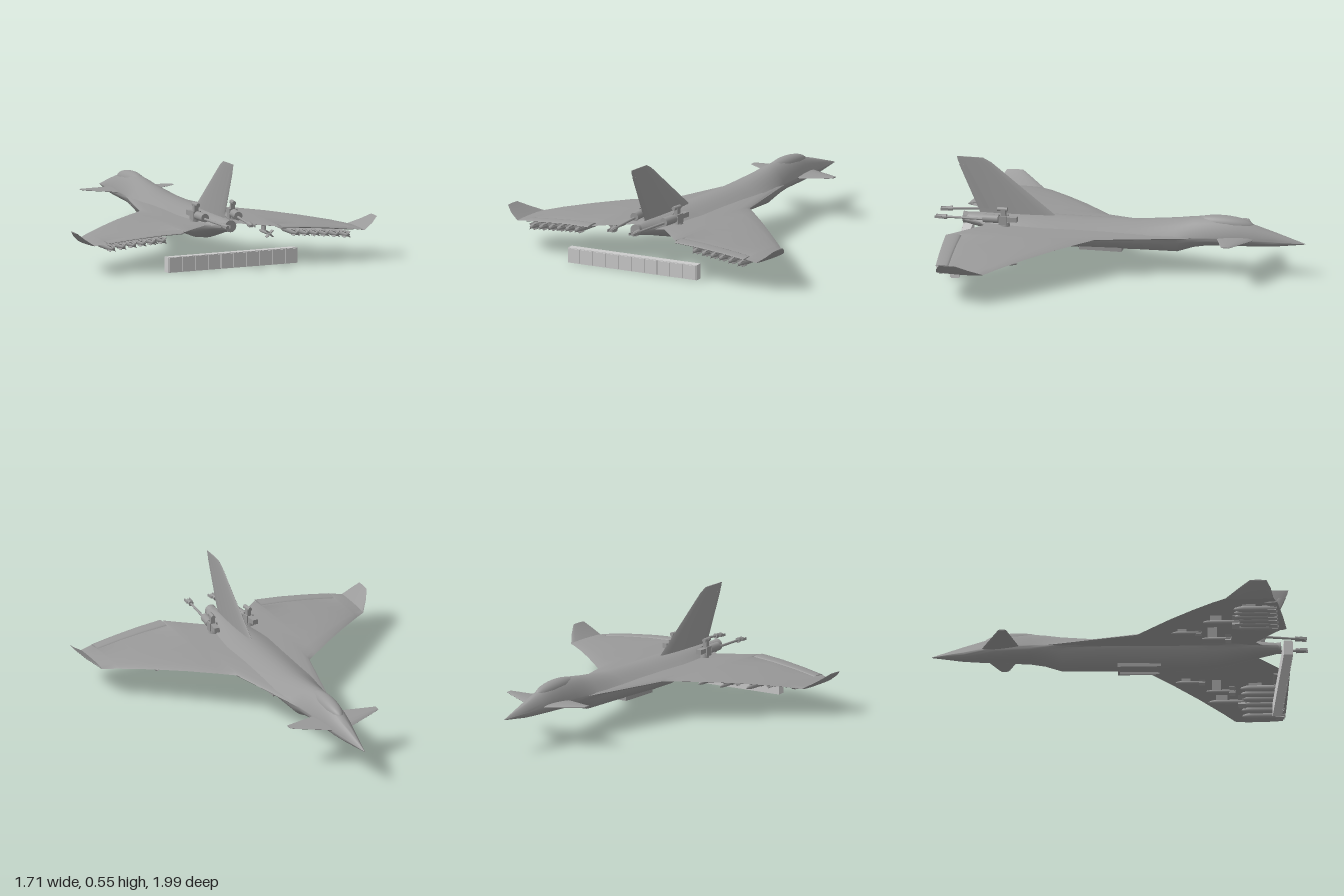
import * as THREE from 'three';
import { toCreasedNormals } from 'three/addons/utils/BufferGeometryUtils.js';

const hullGrey = new THREE.MeshStandardMaterial({ color: 0x999999 });
const paleGrey = new THREE.MeshStandardMaterial({ color: 0xcccccc });

function add(parent, name, geometry, x = 0, y = 0, z = 0, material = hullGrey) {
  const mesh = new THREE.Mesh(geometry, material);
  mesh.name = name;
  mesh.position.set(x, y, z);
  parent.add(mesh);
  return mesh;
}

// Skin a list of equal-sized rings, cap both ends, and turn faces outward.
function loft(rings, crease = 0.7) {
  const n = rings[0].length, verts = rings.flat(), tris = [];
  for (let i = 0; i < rings.length - 1; i++) {
    for (let j = 0; j < n; j++) {
      const k = (j + 1) % n, a = i * n, b = a + n;
      tris.push([a + j, a + k, b + j], [a + k, b + k, b + j]);
    }
  }
  for (const [start, flip] of [[0, true], [(rings.length - 1) * n, false]]) {
    const mid = new THREE.Vector3();
    for (let j = 0; j < n; j++) mid.addScaledVector(verts[start + j], 1 / n);
    const c = verts.push(mid) - 1;
    for (let j = 0; j < n; j++) {
      const a = start + j, b = start + (j + 1) % n;
      tris.push(flip ? [c, b, a] : [c, a, b]);
    }
  }
  const cross = new THREE.Vector3();
  let volume = 0;
  for (const [a, b, c] of tris) volume += verts[a].dot(cross.crossVectors(verts[b], verts[c]));
  if (volume < 0) tris.forEach(t => t.reverse());
  const geo = new THREE.BufferGeometry().setFromPoints(verts);
  geo.setIndex(tris.flat());
  return toCreasedNormals(geo, crease);
}

// Thin lens-shaped section: at(z, offset) places each point.
function foil(zLead, zTrail, half, at, n = 16) {
  return Array.from({ length: n }, (_, j) => {
    const a = j / n * Math.PI * 2, u = (1 - Math.cos(a)) / 2;
    return at(zLead + (zTrail - zLead) * u, half * Math.sin(a) * (1.15 - 0.5 * u));
  });
}
// Each row: x, leading z, trailing z, y, half thickness
const wingLoft = rows => loft(rows.map(([x, l, t, y, h]) =>
  foil(l, t, h, (z, d) => new THREE.Vector3(x, y + d, z))));

function mirrored(parent, name, geometry) {
  add(parent, 'left' + name, geometry);
  add(parent, 'right' + name, geometry).scale.x = -1;
}

const rod = (r0, r1, len, sides = 14) => new THREE.CylinderGeometry(r0, r1, len, sides).rotateX(Math.PI / 2);

// Finned store with its nose toward -z, hanging by `drop` below the wing
function makeStore(name, length, radius, fin, drop) {
  const g = new THREE.Group();
  g.name = name;
  const profile = [[0, -0.5], [0.5, -0.46], [0.9, -0.36], [1, -0.25], [1, 0.3], [0.6, 0.5], [0, 0.5]]
    .map(([r, t]) => new THREE.Vector2(r * radius, t * length));
  add(g, 'storeBody', new THREE.LatheGeometry(profile, 12).rotateX(Math.PI / 2));
  for (const a of [Math.PI / 4, -Math.PI / 4]) {
    add(g, 'storeFin', new THREE.BoxGeometry(fin * 2, 0.003, length * 0.2), 0, 0, length * 0.38).rotation.z = a;
  }
  add(g, 'pylon', new THREE.BoxGeometry(0.008, drop, length * 0.3), 0, drop / 2, -length * 0.15);
  return g;
}

// Rear-facing gun on a pivot, its barrel drooping slightly
function makeGun() {
  const g = new THREE.Group();
  g.name = 'deckGun';
  add(g, 'gunBase', new THREE.CylinderGeometry(0.02, 0.027, 0.035, 14), 0, -0.005, 0);
  add(g, 'gunPost', new THREE.BoxGeometry(0.022, 0.07, 0.026), 0, 0.05, 0.01);
  add(g, 'gunSight', rod(0.011, 0.011, 0.055), 0, 0.083, 0.015);
  add(g, 'gunBreech', new THREE.BoxGeometry(0.03, 0.026, 0.08), 0, 0.03, -0.025);
  for (const s of [-1, 1]) add(g, 'gunTrunnion', new THREE.BoxGeometry(0.007, 0.05, 0.045), s * 0.018, 0.025, 0.01);
  add(g, 'gunDrum', rod(0.023, 0.023, 0.085), 0, 0.028, 0.08);
  add(g, 'gunBarrel', rod(0.006, 0.007, 0.26), 0, 0.022, 0.24);
  add(g, 'gunMuzzle', rod(0.008, 0.014, 0.055), 0, 0.022, 0.355);
  for (const s of [-1, 1]) add(g, 'muzzleProng', new THREE.BoxGeometry(0.005, 0.014, 0.04), s * 0.014, 0.022, 0.37);
  g.rotation.x = 0.035;
  return g;
}

function makeAircraft() {
  const plane = new THREE.Group();
  plane.name = 'aircraft';

  // Fuselage rows: z, belly half width, deck half width, side y, top y, bottom y, deck flare
  const body = [
    [-1, 0.002, 0.002, 0.19, 0.192, 0.188, 1.5], [-0.83, 0.038, 0.038, 0.198, 0.247, 0.167, 1.5],
    [-0.73, 0.06, 0.06, 0.205, 0.277, 0.163, 1.5], [-0.66, 0.07, 0.07, 0.208, 0.298, 0.161, 1.5],
    [-0.58, 0.08, 0.08, 0.21, 0.311, 0.158, 1.6], [-0.48, 0.088, 0.088, 0.21, 0.312, 0.155, 1.7],
    [-0.4, 0.095, 0.095, 0.21, 0.305, 0.14, 1.8], [-0.31, 0.1, 0.11, 0.21, 0.291, 0.108, 2.1],
    [-0.1, 0.108, 0.15, 0.21, 0.268, 0.106, 3], [0.2, 0.11, 0.17, 0.207, 0.261, 0.097, 3.5],
    [0.4, 0.108, 0.17, 0.207, 0.26, 0.098, 3.5], [0.52, 0.1, 0.14, 0.207, 0.258, 0.113, 3.2],
    [0.62, 0.087, 0.105, 0.208, 0.256, 0.138, 2.6], [0.73, 0.062, 0.062, 0.21, 0.253, 0.168, 1.8],
    [0.84, 0.03, 0.03, 0.215, 0.245, 0.19, 1.3]];
  add(plane, 'fuselage', loft(body.map(([z, belly, deck, side, top, bottom, flare]) =>
    Array.from({ length: 32 }, (_, j) => {
      const a = j / 32 * Math.PI * 2, s = Math.sin(a), upper = j <= 16;
      const y = upper ? side + (top - side) * Math.pow(Math.max(s, 0), flare) : side - (side - bottom) * Math.pow(-s, 1.15);
      return new THREE.Vector3((upper ? deck : belly) * Math.cos(a), y, z);
    })), 0.9));
  add(plane, 'canopy', new THREE.SphereGeometry(1, 28, 18).scale(0.045, 0.048, 0.165), 0, 0.273, -0.56).rotation.x = -0.03;
  add(plane, 'exhaustNozzle', rod(0.032, 0.026, 0.05, 20), 0, 0.218, 0.825);

  // Belly bay rim
  for (const s of [-1, 1]) {
    add(plane, 'bayRail', new THREE.BoxGeometry(0.008, 0.05, 0.22), s * 0.05, 0.122, 0.1);
    add(plane, 'bayEnd', new THREE.BoxGeometry(0.108, 0.05, 0.01), 0, 0.122, 0.1 + s * 0.11);
  }

  // Wings with upturned tips, and separate flaps on the trailing edge
  mirrored(plane, 'Wing', wingLoft([
    [0, -0.46, 0.8, 0.21, 0.02], [0.095, -0.4, 0.72, 0.21, 0.017], [0.215, 0.095, 0.82, 0.207, 0.016],
    [0.27, 0.143, 0.87, 0.205, 0.015], [0.28, 0.152, 0.805, 0.205, 0.015], [0.42, 0.274, 0.798, 0.198, 0.013],
    [0.56, 0.397, 0.791, 0.185, 0.011], [0.695, 0.514, 0.783, 0.167, 0.009], [0.705, 0.524, 0.845, 0.165, 0.009],
    [0.77, 0.58, 0.835, 0.153, 0.007], [0.82, 0.65, 0.822, 0.187, 0.005], [0.855, 0.71, 0.8, 0.218, 0.003]]));
  mirrored(plane, 'Flap', wingLoft([
    [0.28, 0.8, 0.888, 0.201, 0.011], [0.42, 0.795, 0.877, 0.194, 0.01],
    [0.56, 0.79, 0.865, 0.181, 0.009], [0.7, 0.783, 0.852, 0.164, 0.008]]));
  mirrored(plane, 'Canard', wingLoft([
    [0.03, -0.745, -0.52, 0.21, 0.012], [0.24, -0.65, -0.592, 0.223, 0.005], [0.26, -0.64, -0.6, 0.225, 0.003]]));

  // Fin and rudder
  const finLoft = rows => loft(rows.map(([y, l, t, h]) => foil(l, t, h, (z, d) => new THREE.Vector3(d, y, z))));
  add(plane, 'tailFin', finLoft([[0.23, 0.3, 0.76, 0.018], [0.265, 0.36, 0.765, 0.013],
    [0.53, 0.7, 0.882, 0.005], [0.553, 0.745, 0.888, 0.003]]));
  add(plane, 'rudder', finLoft([[0.275, 0.69, 0.772, 0.008], [0.51, 0.825, 0.876, 0.004]]));

  // Guns and underwing stores
  const wingY = x => 0.207 - 0.085 * x * x;
  for (const s of [-1, 1]) {
    const gun = makeGun();
    gun.position.set(s * 0.107, 0.226, 0.6);
    gun.rotation.y = -s * 0.1;
    plane.add(gun);

    const hang = (name, length, radius, fin, x, drop, z) => {
      const store = makeStore(name, length, radius, fin, drop);
      store.position.set(s * x, wingY(x) - drop, z);
      plane.add(store);
    };
    for (const x of [0.38, 0.44, 0.495, 0.55, 0.61, 0.67]) hang('bomb', 0.23, 0.017, 0.022, x, 0.033, 0.735);
    hang('finnedMissile', 0.2, 0.012, 0.038, 0.5, 0.045, 0.55);
    hang('lightMissile', 0.16, 0.009, 0.016, 0.31, 0.03, 0.36);
    hang('lightMissile', 0.16, 0.009, 0.026, 0.33, 0.074, 0.52);
  }
  plane.position.x = 0.008;
  plane.rotation.y = -0.012;
  return plane;
}

// Long beam with ten square panels on its rear-facing side
function makeBoxRow() {
  const row = new THREE.Group();
  row.name = 'boxRow';
  add(row, 'beam', new THREE.BoxGeometry(0.775, 0.082, 0.044), 0, 0, 0, paleGrey);
  for (let i = 0; i < 10; i++) {
    add(row, 'boxPanel', new THREE.BoxGeometry(0.069, 0.076, 0.008), (i - 4.5) * 0.0775, 0, 0.024, paleGrey);
  }
  row.position.set(-0.004, 0.041, 0.857);
  row.rotation.y = 0.097;
  return row;
}

export function createModel() {
  const model = new THREE.Group();
  model.name = 'armedJet';
  model.add(makeAircraft(), makeBoxRow());
  return model;
}
